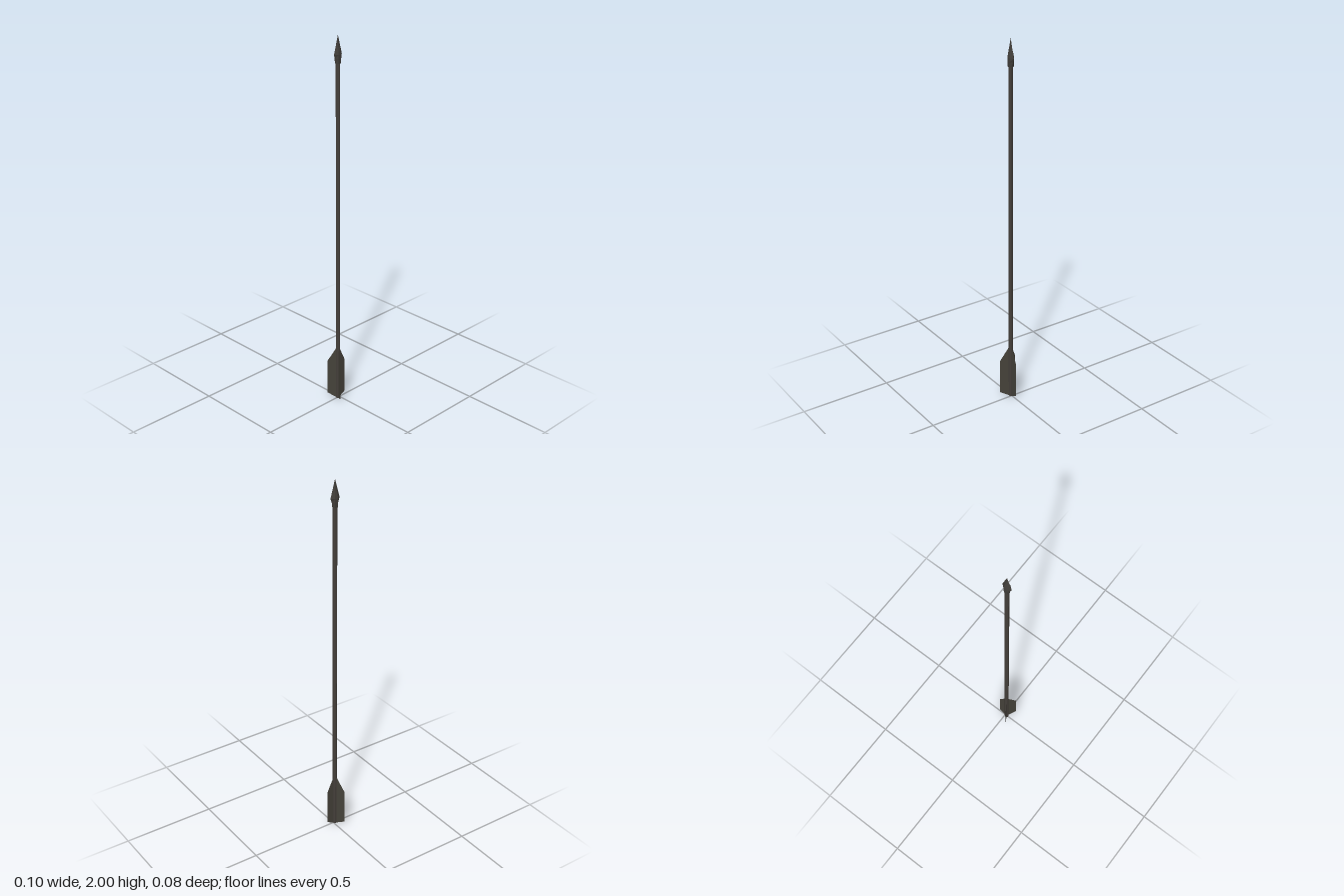
import * as THREE from 'three';

const mat = (name, color, extra = {}) => {
  const m = new THREE.MeshStandardMaterial({ color, ...extra });
  m.name = name;
  return m;
};

// Low-poly solid lofted through rings of [y, halfX, halfZ, sideFlat]; each ring is a hexagon pointed along z
function loftHead(rings) {
  const pos = [], idx = [], n = 6;
  for (const [y, hx, hz, flat] of rings) {
    pos.push(0, y, hz, hx, y, flat, hx, y, -flat, 0, y, -hz, -hx, y, -flat, -hx, y, flat);
  }
  for (let r = 0; r < rings.length - 1; r++) {
    for (let i = 0; i < n; i++) {
      const a = r * n + i, b = r * n + (i + 1) % n;
      idx.push(a, b, b + n, a, b + n, a + n);
    }
  }
  for (let i = 1; i < n - 1; i++) idx.push(0, i + 1, i);
  const g = new THREE.BufferGeometry();
  g.setAttribute('position', new THREE.Float32BufferAttribute(pos, 3));
  g.setIndex(idx);
  const flatGeometry = g.toNonIndexed();
  flatGeometry.computeVertexNormals();
  return flatGeometry;
}

export function createModel() {
  const wood = mat('darkWood', 0x443f3a, { flatShading: true });
  const feather = mat('darkFeather', 0x45423a, { side: THREE.DoubleSide });
  const iron = mat('darkIron', 0x413e3a, { flatShading: true });

  const model = new THREE.Group();
  model.name = 'arrow';
  const body = new THREE.Group();
  body.name = 'arrowBody';
  body.position.z = 0.0095;
  model.add(body);

  const add = (name, geometry, material) => {
    const m = new THREE.Mesh(geometry, material);
    m.name = name;
    body.add(m);
    return m;
  };

  // Long shaft
  const shaft = add('shaft', new THREE.CylinderGeometry(0.0115, 0.0115, 1.88, 8), wood);
  shaft.position.y = 0.94;
  shaft.rotation.y = Math.PI / 8;

  // Pointed head: socket, shoulders, blade and tip
  add('arrowhead', loftHead([
    [1.86, 0.0125, 0.015, 0.008],
    [1.885, 0.0135, 0.019, 0.009],
    [1.905, 0.0135, 0.0265, 0.009],
    [1.92, 0.0115, 0.0225, 0.007],
    [1.95, 0.0055, 0.014, 0.004],
    [1.97, 0.0025, 0.0085, 0.002],
    [2.0, 0.0003, 0.0003, 0.0001],
  ]), iron);

  // Three flat vanes: one to the back, two swept forward
  const vane = (name, reach, angle) => {
    const s = new THREE.Shape([
      [0, 0], [0.012, 0], [reach, 0.02], [reach, 0.215], [0.008, 0.305], [0, 0.305],
    ].map(([x, y]) => new THREE.Vector2(x, y)));
    add(name, new THREE.ShapeGeometry(s), feather).rotation.y = angle;
  };
  vane('backVane', 0.0495, Math.PI / 2);
  const sweep = Math.atan2(0.0305, 0.05), reach = Math.hypot(0.05, 0.0305);
  vane('leftVane', reach, -sweep);
  vane('rightVane', reach, Math.PI + sweep);

  return model;
}
